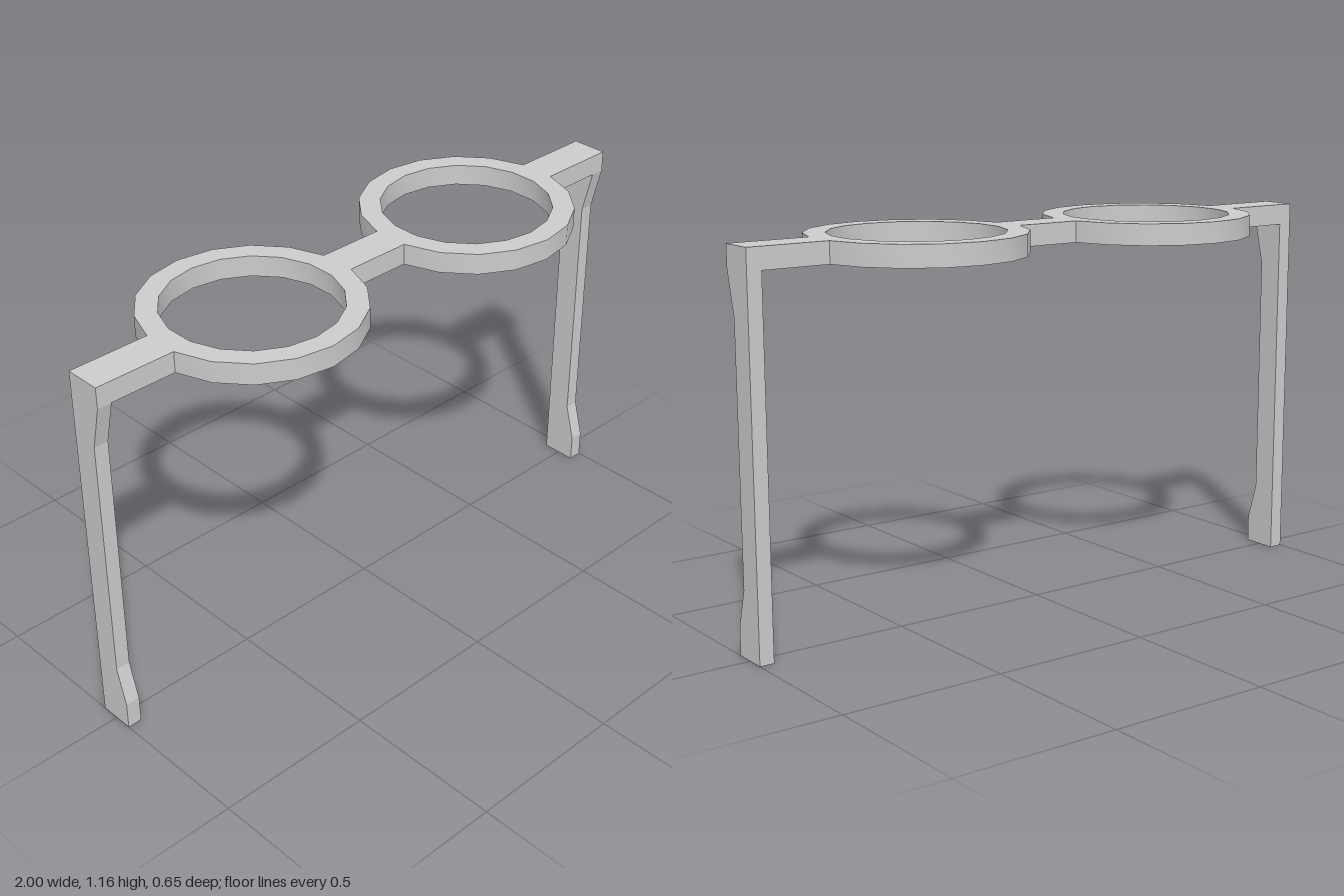
import * as THREE from 'three';
import { toCreasedNormals } from 'three/addons/utils/BufferGeometryUtils.js';

const RIM_X = 0.426, OUTER = 0.325, INNER = 0.26;
const HALF = OUTER * Math.sin(Math.PI / 18); // half width of bridge and end bars
const FRAME_Y = 1.1, FRAME_T = 0.065, TEMPLE_T = 0.045;

// Points on an 18-sided ring, stepping 20 degrees from a start angle
function arc(cx, r, startDeg, count) {
  return Array.from({ length: count }, (_, i) => {
    const a = THREE.MathUtils.degToRad(startDeg + i * 20);
    return new THREE.Vector2(cx + r * Math.cos(a), r * Math.sin(a));
  });
}

// Both rims, the bridge and the end bars as one plate with two lens holes
function frameGeometry() {
  const shape = new THREE.Shape([
    new THREE.Vector2(-1, -HALF),
    ...arc(-RIM_X, OUTER, 190, 9),
    ...arc(RIM_X, OUTER, 190, 9),
    new THREE.Vector2(1, -HALF),
    new THREE.Vector2(1, HALF),
    ...arc(RIM_X, OUTER, 10, 9),
    ...arc(-RIM_X, OUTER, 10, 9),
    new THREE.Vector2(-1, HALF),
  ]);
  for (const s of [-1, 1]) {
    shape.holes.push(new THREE.Path(arc(s * RIM_X, INNER, 10, 18)));
  }
  const geo = new THREE.ExtrudeGeometry(shape, { depth: FRAME_T, bevelEnabled: false });
  geo.rotateX(-Math.PI / 2).translate(0, FRAME_Y, 0);
  return toCreasedNormals(geo, THREE.MathUtils.degToRad(30));
}

// Temple arm: a flat bar that widens at the hinge and at the tip
function templeGeometry() {
  const profile = [
    [-HALF, 0], [HALF, 0], [HALF, 0.085], [0.024, 0.2],
    [0.024, 0.965], [HALF, FRAME_Y], [-HALF, FRAME_Y],
  ].map(([z, y]) => new THREE.Vector2(z, y));
  const geo = new THREE.ExtrudeGeometry(new THREE.Shape(profile), { depth: TEMPLE_T, bevelEnabled: false });
  return geo.translate(0, 0, -TEMPLE_T / 2).rotateY(-Math.PI / 2);
}

export function createModel() {
  const group = new THREE.Group();
  group.name = 'eyeglasses';
  const smooth = new THREE.MeshStandardMaterial({ color: 0xcccccc });
  const flat = new THREE.MeshStandardMaterial({ color: 0xcccccc, flatShading: true });

  const frame = new THREE.Mesh(frameGeometry(), smooth);
  frame.name = 'frame';
  group.add(frame);

  const templeGeo = templeGeometry();
  for (const [name, s] of [['leftTemple', 1], ['rightTemple', -1]]) {
    const temple = new THREE.Mesh(templeGeo, flat);
    temple.name = name;
    temple.position.x = s * (1 - TEMPLE_T / 2);
    group.add(temple);
  }
  return group;
}
